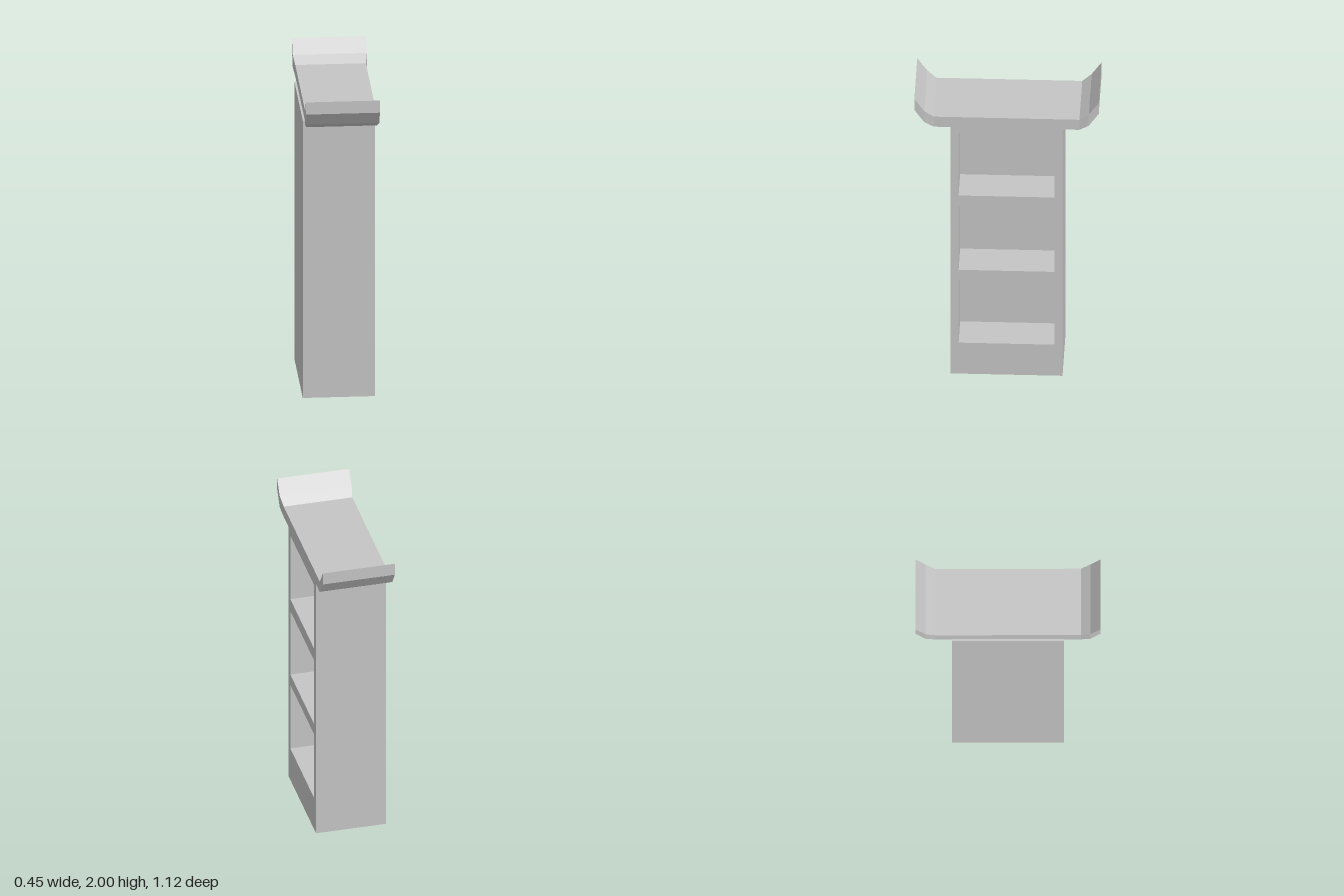
import * as THREE from 'three';

const BODY = { x0: -0.228, x1: 0.212, h: 1.8, halfZ: 0.34 };
const NICHE = { halfZ: 0.292, h: 0.456, depth: 0.236, bottoms: [0.225, 0.755, 1.296] };

// Box without its +x face; inward turns the faces to show from inside
function openBox(w, h, d, inward) {
  const geo = new THREE.BoxGeometry(w, h, d);
  let index = Array.from(geo.index.array).slice(6);
  if (inward) index = index.reverse();
  geo.setIndex(index);
  geo.clearGroups();
  const flat = geo.toNonIndexed();
  flat.computeVertexNormals();
  return flat;
}

// Roof slab with upswept ends, lofted from rectangular sections along z
function roofGeometry() {
  // z, underside y, top y, half width
  const half = [
    [0.443, 1.795, 1.868, 0.215],
    [0.5, 1.833, 1.913, 0.226],
    [0.561, 1.921, 2.0, 0.226],
  ];
  const sections = [...half.map(([z, ...r]) => [-z, ...r]).reverse(), ...half];
  const rings = sections.map(([z, y0, y1, w]) => [
    [-w, y0, z], [w, y0, z], [w, y1, z], [-w, y1, z],
  ]);
  const pos = [];
  const quad = (a, b, c, d) => pos.push(...a, ...b, ...c, ...a, ...c, ...d);
  for (let i = 0; i < rings.length - 1; i++) {
    const p = rings[i], q = rings[i + 1];
    for (let k = 0; k < 4; k++) {
      const n = (k + 1) % 4;
      quad(p[k], p[n], q[n], q[k]);
    }
  }
  const first = rings[0], last = rings[rings.length - 1];
  quad(first[3], first[2], first[1], first[0]);
  quad(last[0], last[1], last[2], last[3]);
  const geo = new THREE.BufferGeometry();
  geo.setAttribute('position', new THREE.Float32BufferAttribute(pos, 3));
  geo.computeVertexNormals();
  return geo;
}

export function createModel() {
  const model = new THREE.Group();
  model.name = 'shelfTower';
  const grey = new THREE.MeshStandardMaterial({ color: 0xc4c4c4 });
  grey.name = 'plain grey';

  const add = (name, geo, x = 0, y = 0, z = 0) => {
    const mesh = new THREE.Mesh(geo, grey);
    mesh.name = name;
    mesh.position.set(x, y, z);
    model.add(mesh);
  };

  // Cabinet walls, open on the shelf side
  const { x0, x1, h, halfZ } = BODY;
  add('cabinetBody', openBox(x1 - x0, h, halfZ * 2, false), (x0 + x1) / 2, h / 2);

  // Shelf-side face with three openings
  const rect = (Type, hz, y0, y1) => new Type([
    new THREE.Vector2(-hz, y0), new THREE.Vector2(hz, y0),
    new THREE.Vector2(hz, y1), new THREE.Vector2(-hz, y1),
  ]);
  const face = rect(THREE.Shape, halfZ, 0, h);
  NICHE.bottoms.forEach((y) => face.holes.push(rect(THREE.Path, NICHE.halfZ, y, y + NICHE.h)));
  add('shelfFrame', new THREE.ShapeGeometry(face).rotateY(Math.PI / 2), x1);

  // Recessed shelf compartments
  NICHE.bottoms.forEach((y, i) => add(`shelfCompartment${i + 1}`,
    openBox(NICHE.depth, NICHE.h, NICHE.halfZ * 2, true), x1 - NICHE.depth / 2, y + NICHE.h / 2));

  add('upsweptTop', roofGeometry());
  return model;
}
